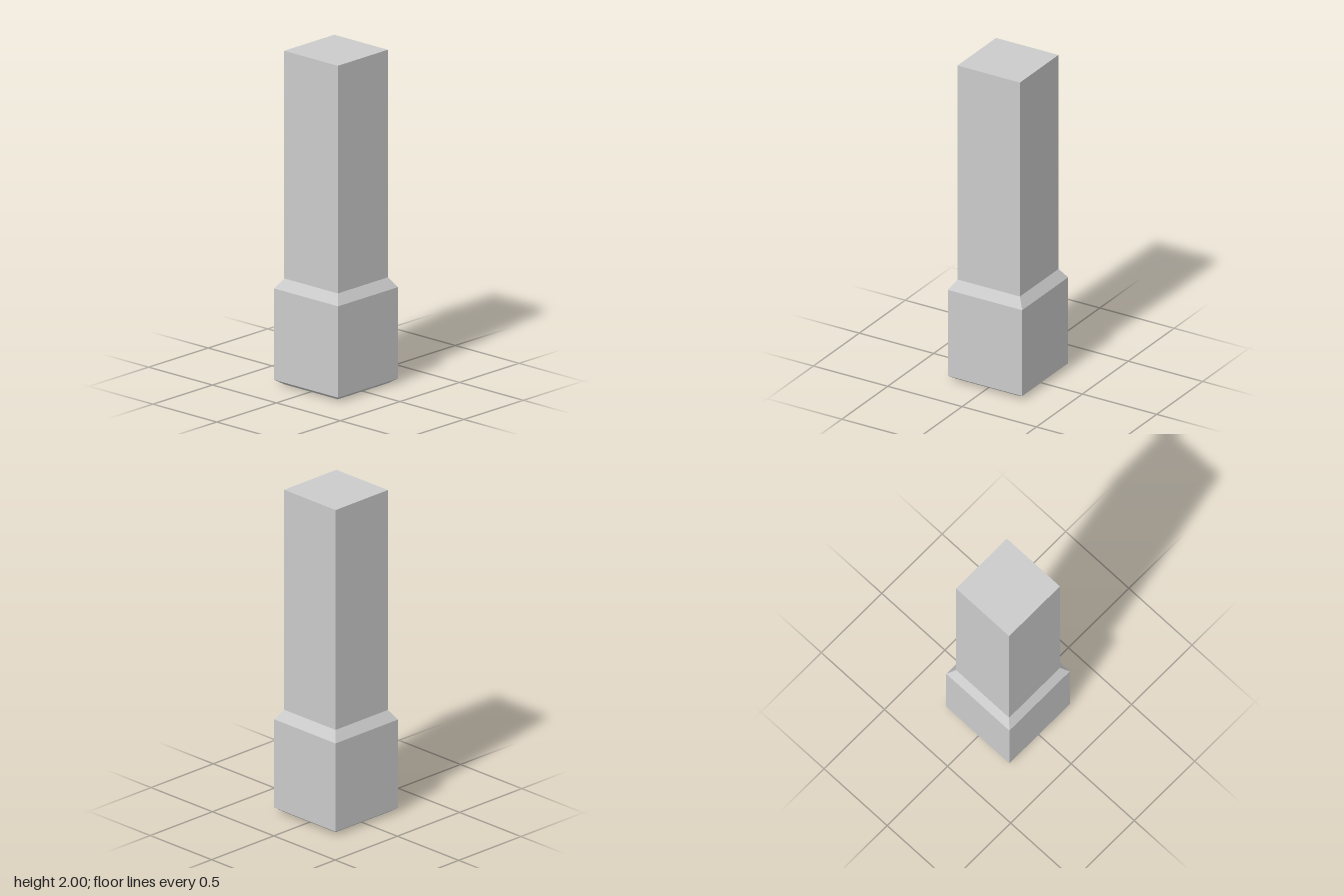
import * as THREE from 'three';

const material = new THREE.MeshStandardMaterial({ color: 0xcccccc, flatShading: true });

// Square solid from a profile of [half width, height] pairs, bottom to top
function squareLathe(name, profile) {
  const points = profile.map(([half, y]) => new THREE.Vector2(half * Math.SQRT2, y));
  const mesh = new THREE.Mesh(new THREE.LatheGeometry(points, 4, Math.PI / 4), material);
  mesh.name = name;
  return mesh;
}

export function createModel() {
  const group = new THREE.Group();
  group.name = 'squarePost';

  // Wider base block, chamfered underneath and sloping in to the shaft
  group.add(squareLathe('base', [[0, 0], [0.21, 0], [0.25, 0.027], [0.25, 0.575], [0.21, 0.635]]));

  // Tall straight shaft with a flat top
  group.add(squareLathe('shaft', [[0.21, 0.635], [0.21, 2], [0, 2]]));

  return group;
}
